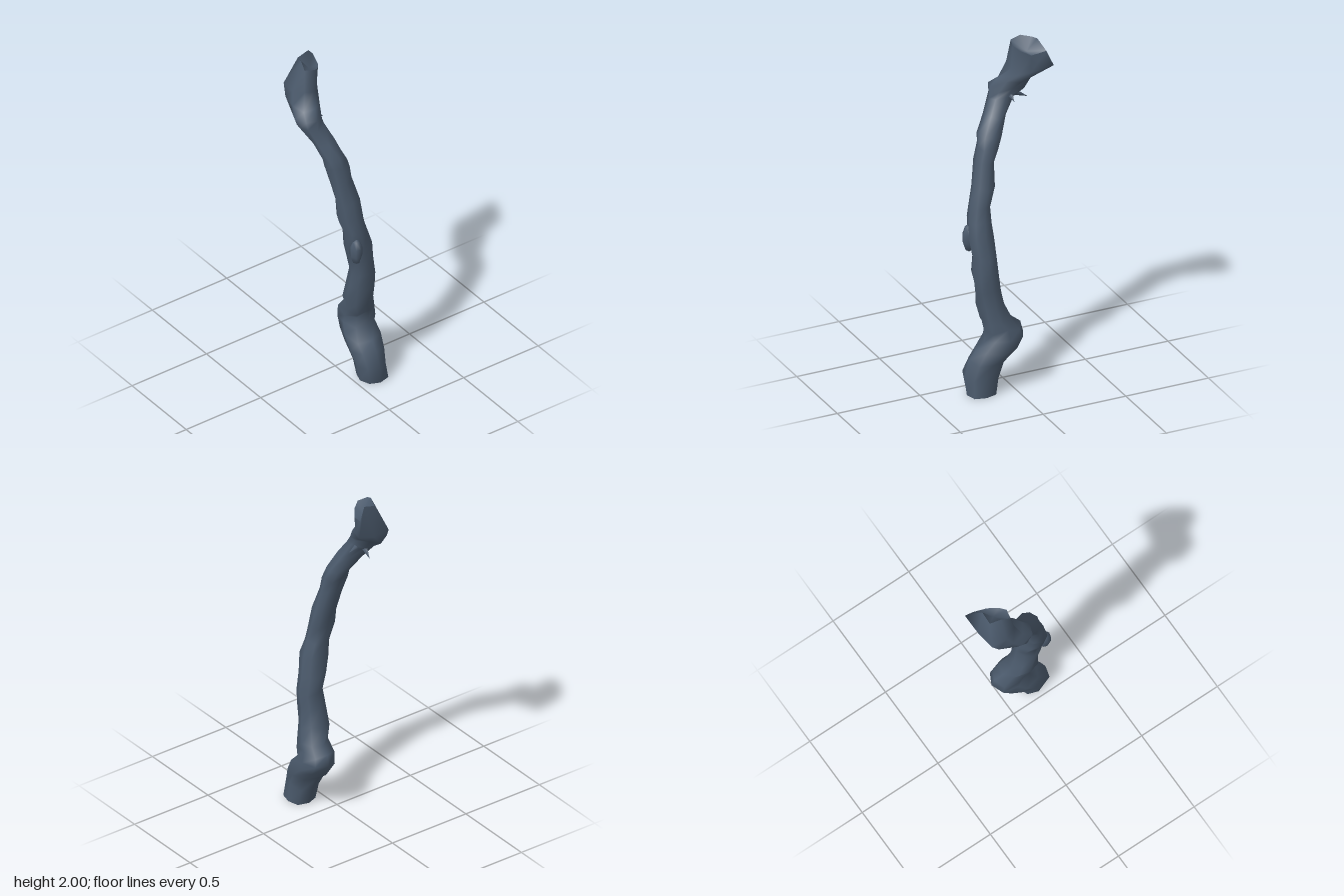
import * as THREE from 'three';

const SIDES = 8;

// Cross-sections from the foot up: y, xMin, xMax, zMin, zMax
const SECTIONS = [
  [0, 0.03, 0.19, 0.105, 0.27],
  [0.1, 0.015, 0.185, 0.08, 0.28],
  [0.19, 0, 0.19, 0.04, 0.25],
  [0.25, 0, 0.195, -0.03, 0.21],
  [0.31, 0.02, 0.2, -0.07, 0.165],
  [0.37, 0.025, 0.185, -0.055, 0.165],
  [0.42, 0.02, 0.175, -0.005, 0.175],
  [0.5, -0.005, 0.16, 0.03, 0.19],
  [0.6, 0.0, 0.145, 0.055, 0.2],
  [0.7, 0.005, 0.15, 0.07, 0.215],
  [0.8, -0.005, 0.135, 0.07, 0.21],
  [0.9, -0.04, 0.115, 0.085, 0.22],
  [1.0, -0.045, 0.09, 0.085, 0.215],
  [1.09, -0.075, 0.075, 0.085, 0.195],
  [1.19, -0.075, 0.065, 0.06, 0.175],
  [1.32, -0.095, 0.035, 0.045, 0.15],
  [1.41, -0.11, 0.028, 0.015, 0.13],
  [1.47, -0.12, 0.01, -0.01, 0.12],
  [1.56, -0.155, -0.02, -0.06, 0.07],
  [1.65, -0.2, -0.06, -0.12, 0.02],
  [1.7, -0.205, -0.055, -0.19, 0.015],
  [1.75, -0.19, -0.045, -0.24, -0.025],
];

// Flared crown and its torn rim, corner by corner
const CROWN = [
  [0, 1.81, -0.17], [-0.04, 1.79, -0.12], [-0.08, 1.82, -0.09], [-0.14, 1.84, -0.09],
  [-0.17, 1.82, -0.16], [-0.16, 1.82, -0.255], [-0.05, 1.82, -0.27], [0.06, 1.86, -0.28],
];
const RIM = [
  [0.01, 1.92, -0.17], [-0.03, 1.94, -0.12], [-0.07, 1.96, -0.095], [-0.125, 1.97, -0.11],
  [-0.11, 1.995, -0.16], [-0.09, 1.98, -0.22], [-0.02, 2.0, -0.22], [0.03, 1.94, -0.25],
];

// Slightly lumpy oval that keeps its four extremes
function oval([y, x0, x1, z0, z1], row) {
  const ring = [];
  for (let i = 0; i < SIDES; i++) {
    const a = (i / SIDES) * Math.PI * 2;
    const k = i % 2 ? 1.05 + 0.08 * Math.sin(row * 2.3 + i * 1.9) : 1;
    ring.push([
      (x0 + x1) / 2 + Math.cos(a) * k * (x1 - x0) / 2,
      y + (row ? 0.012 * Math.sin(row * 1.7 + i * 2.1) : 0),
      (z0 + z1) / 2 + Math.sin(a) * k * (z1 - z0) / 2,
    ]);
  }
  return ring;
}

function surface(points, index) {
  const g = new THREE.BufferGeometry();
  g.setAttribute('position', new THREE.Float32BufferAttribute(points.flat(), 3));
  g.setIndex(index);
  g.computeVertexNormals();
  return g;
}

// Side wall through a stack of rings
function skin(rings) {
  const index = [];
  for (let r = 0; r < rings.length - 1; r++) {
    for (let i = 0; i < SIDES; i++) {
      const j = (i + 1) % SIDES;
      const a = r * SIDES + i, b = r * SIDES + j;
      const c = a + SIDES, d = b + SIDES;
      index.push(a, c, b, b, c, d);
    }
  }
  return surface(rings.flat(), index);
}

// Fan closing a ring to a centre point
function fan(ring, centre, up) {
  const index = [];
  for (let i = 0; i < SIDES; i++) {
    const j = (i + 1) % SIDES;
    index.push(...(up ? [SIDES, j, i] : [SIDES, i, j]));
  }
  return surface([...ring, centre], index);
}

// Flattened splinter from a base point to a tip
function splinter(from, to, radius) {
  const a = new THREE.Vector3(...from), b = new THREE.Vector3(...to);
  const dir = b.clone().sub(a);
  const g = new THREE.ConeGeometry(radius, dir.length(), 5);
  g.applyQuaternion(new THREE.Quaternion().setFromUnitVectors(new THREE.Vector3(0, 1, 0), dir.normalize()));
  const mid = a.add(b).multiplyScalar(0.5);
  g.translate(mid.x, mid.y, mid.z);
  return g;
}

export function createModel() {
  const group = new THREE.Group();
  const bark = new THREE.MeshStandardMaterial({ color: 0x4b5a6c });
  bark.name = 'slate bark';
  const add = (name, geometry) => {
    const mesh = new THREE.Mesh(geometry, bark);
    mesh.name = name;
    group.add(mesh);
    return mesh;
  };

  const rings = [...SECTIONS.map(oval), CROWN, RIM];
  add('trunk', skin(rings));
  add('foot', fan(rings[0], [0.11, 0, 0.187], false));
  add('tornTop', fan(RIM, [-0.05, 1.92, -0.17], true));

  // Burr on the front of the trunk
  const burr = add('burr', new THREE.SphereGeometry(1, 7, 5));
  burr.scale.set(0.035, 0.085, 0.04);
  burr.position.set(-0.005, 0.89, 0.2);

  // Splinters under the crown
  add('sideSplinter', splinter([-0.11, 1.68, -0.08], [-0.02, 1.64, -0.083], 0.025));
  add('backSplinter', splinter([-0.1, 1.68, -0.09], [-0.08, 1.63, -0.19], 0.025));
  return group;
}
